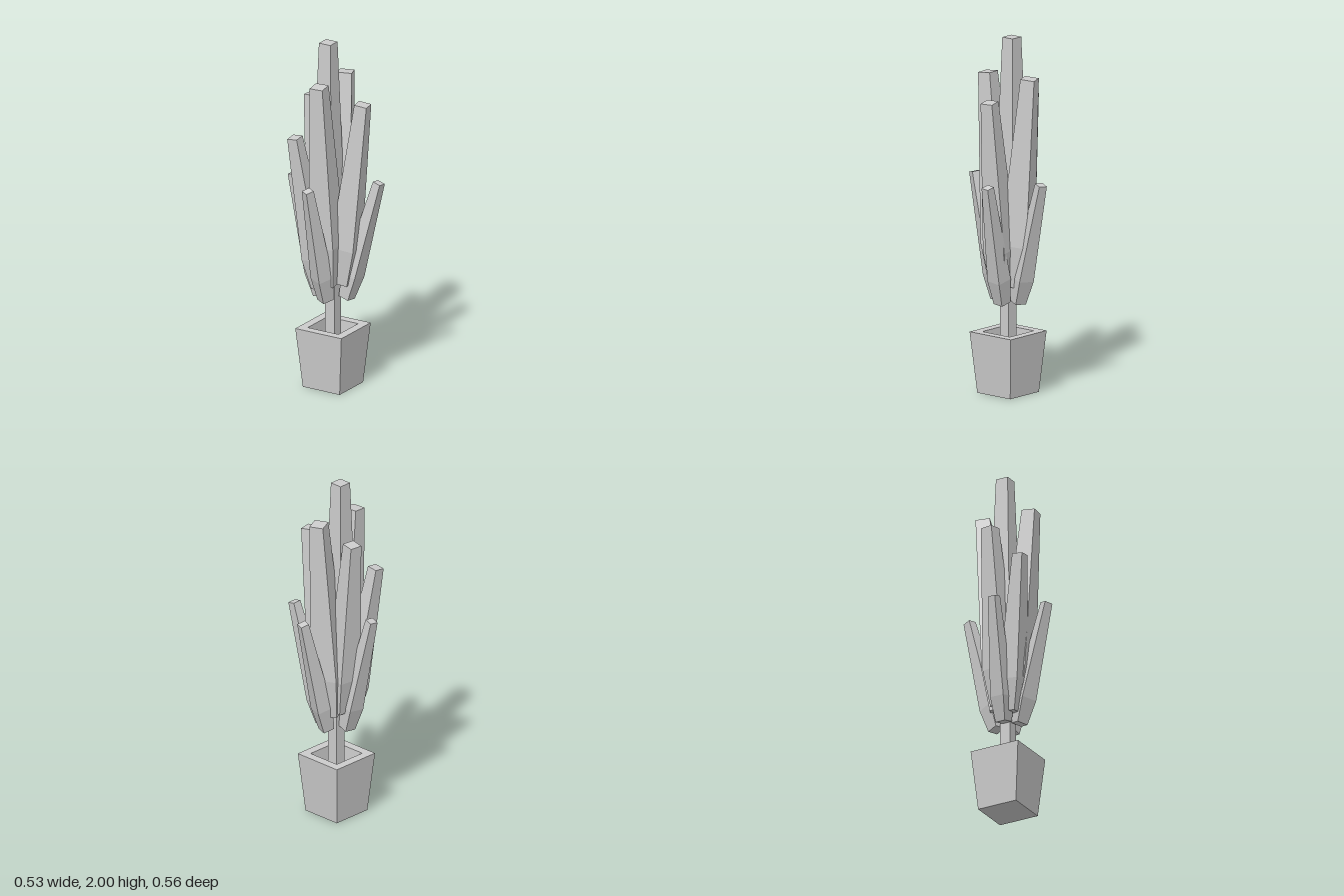
import * as THREE from 'three';

const STEM_X = -0.012;
const material = new THREE.MeshStandardMaterial({ color: 0xcccccc, flatShading: true });

// Four-sided solid from [half width, height] pairs, listed from bottom to top.
function squareLathe(name, profile) {
  const points = profile.map(([half, y]) => new THREE.Vector2(half * Math.SQRT2, y));
  const mesh = new THREE.Mesh(new THREE.LatheGeometry(points, 4, Math.PI / 4), material);
  mesh.name = name;
  return mesh;
}

// Tapered leaf: narrow base, widest a fifth of the way up, slim square tip.
function makeLeaf({ name, tip, half, baseY, yaw = 0, spread = 0.3 }) {
  const [x, y, z] = tip;
  const base = new THREE.Vector3(STEM_X + (x - STEM_X) * spread, baseY, z * spread);
  const axis = new THREE.Vector3(x, y, z).sub(base);
  const length = axis.length();
  const leaf = squareLathe(name, [
    [0, 0], [half * 1.35, 0], [half * 1.9, length * 0.2], [half, length], [0, length],
  ]);
  leaf.position.copy(base);
  leaf.quaternion.setFromUnitVectors(new THREE.Vector3(0, 1, 0), axis.normalize());
  leaf.rotateY(yaw);
  return leaf;
}

const leaves = [
  { name: 'centreLeaf', tip: [-0.043, 2.0, 0], half: 0.037, baseY: 0.62, spread: 1 },
  // tall ring
  { name: 'tallBackLeaf', tip: [-0.022, 1.79, -0.148], half: 0.04, baseY: 0.61, yaw: 0.38 },
  { name: 'tallFrontLeaf', tip: [-0.01, 1.79, 0.145], half: 0.039, baseY: 0.61, yaw: 0.1 },
  { name: 'tallLeftLeaf', tip: [0.168, 1.67, -0.022], half: 0.036, baseY: 0.61, yaw: 0.18 },
  { name: 'tallRightLeaf', tip: [-0.16, 1.67, -0.028], half: 0.036, baseY: 0.63, yaw: -0.13 },
  { name: 'middleLeaf', tip: [-0.158, 1.47, 0.16], half: 0.031, baseY: 0.58 },
  // short outer ring
  { name: 'shortLeftLeaf', tip: [0.241, 1.21, -0.072], half: 0.024, baseY: 0.52, yaw: -0.08 },
  { name: 'shortRightLeaf', tip: [-0.24, 1.21, 0.043], half: 0.024, baseY: 0.52, yaw: -0.15 },
  { name: 'shortBackLeaf', tip: [0, 1.21, -0.25], half: 0.024, baseY: 0.52, yaw: -0.32 },
  { name: 'shortFrontLeaf', tip: [-0.018, 1.21, 0.248], half: 0.024, baseY: 0.52, yaw: -0.46 },
];

export function createModel() {
  const model = new THREE.Group();
  model.name = 'pottedPlant';

  // Flared pot with a thick rim and a hollow inside
  const pot = squareLathe('pot', [
    [0, 0], [0.12, 0], [0.15, 0.345], [0.1, 0.345], [0.09, 0.18], [0, 0.18],
  ]);
  pot.position.x = STEM_X;
  model.add(pot);

  // Square stem rising from the pot into the leaves
  const stem = squareLathe('stem', [[0, 0.18], [0.032, 0.18], [0.032, 0.75], [0, 0.75]]);
  stem.position.x = STEM_X;
  model.add(stem);

  const foliage = new THREE.Group();
  foliage.name = 'foliage';
  leaves.forEach((leaf) => foliage.add(makeLeaf(leaf)));
  model.add(foliage);

  return model;
}
